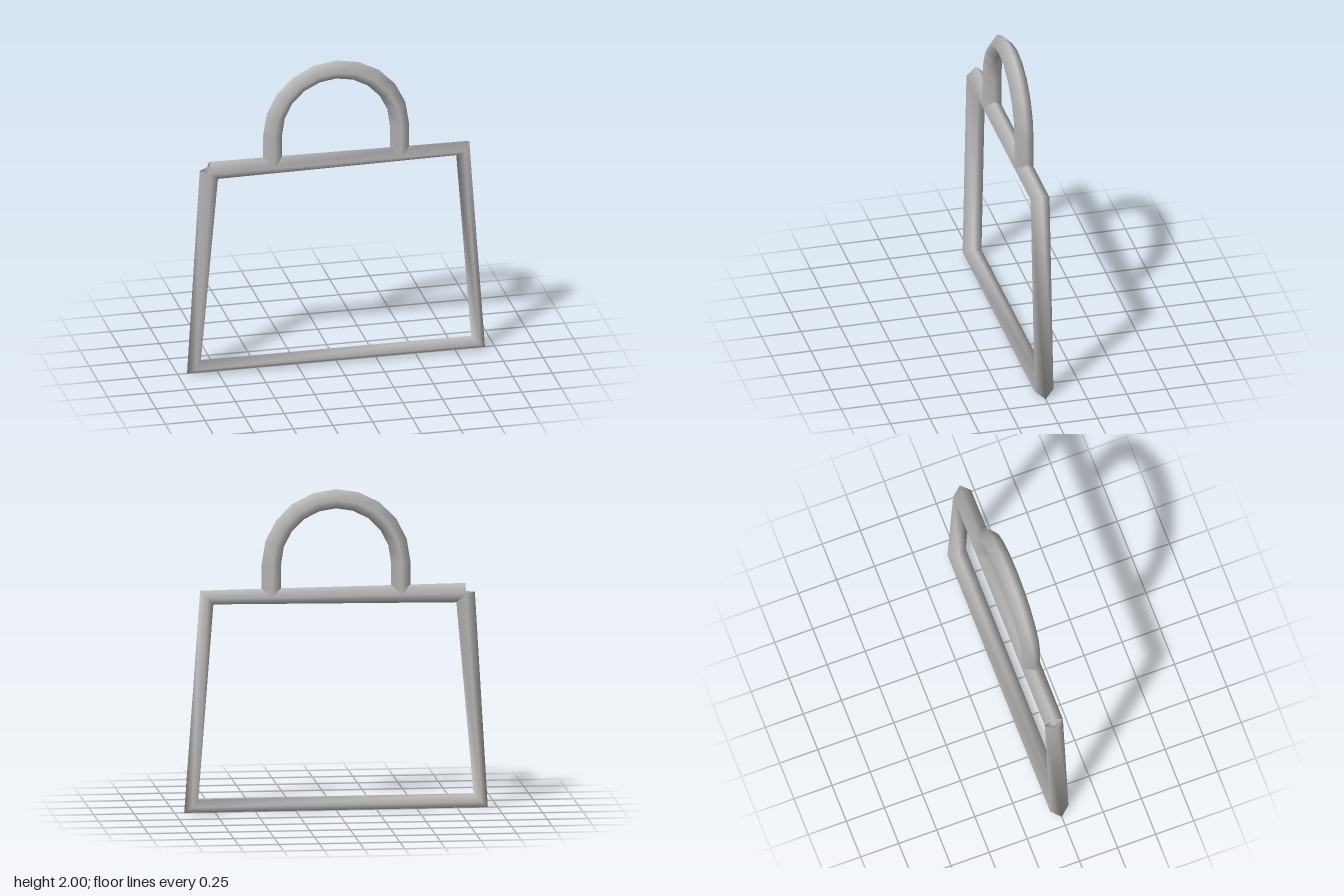
import * as THREE from 'three';

const RADIUS = 0.06;
const SIDES = 4;

// Sweeps a four-sided open tube along a path in the xy plane.
// Each corner section is turned to the mean direction of its two neighbours.
function sweep(points) {
  const position = [], normal = [], index = [];
  const last = points.length - 1;
  points.forEach((p, i) => {
    const tangent = new THREE.Vector2();
    if (i > 0) tangent.add(p.clone().sub(points[i - 1]).normalize());
    if (i < last) tangent.add(points[i + 1].clone().sub(p).normalize());
    tangent.normalize();
    for (let k = 0; k < SIDES; k++) {
      const a = (k / SIDES) * Math.PI * 2;
      const n = [-tangent.y * Math.cos(a), tangent.x * Math.cos(a), Math.sin(a)];
      normal.push(...n);
      position.push(p.x + RADIUS * n[0], p.y + RADIUS * n[1], RADIUS * n[2]);
      if (i < last) {
        const a0 = i * SIDES + k, b0 = i * SIDES + ((k + 1) % SIDES);
        index.push(a0, b0, a0 + SIDES, b0, b0 + SIDES, a0 + SIDES);
      }
    }
  });
  const geometry = new THREE.BufferGeometry();
  geometry.setAttribute('position', new THREE.Float32BufferAttribute(position, 3));
  geometry.setAttribute('normal', new THREE.Float32BufferAttribute(normal, 3));
  geometry.setIndex(index);
  return geometry;
}

export function createModel() {
  const group = new THREE.Group();
  group.name = 'bagOutline';
  const grey = new THREE.MeshStandardMaterial({ color: 0xc0c0c0, side: THREE.DoubleSide });
  grey.name = 'grey';

  const addTube = (name, points) => {
    const mesh = new THREE.Mesh(sweep(points), grey);
    mesh.name = name;
    group.add(mesh);
  };
  const v = (x, y) => new THREE.Vector2(x, y);

  // Trapezoid frame, starting and ending at the upper corner on the -x side
  addTube('frame', [v(-0.8, 1.34), v(0.8, 1.34), v(0.896, 0.041), v(-0.896, 0.041), v(-0.8, 1.34)]);

  // Handle: two straight legs joined by a half circle
  const handle = [v(-0.4, 1.34)];
  for (let i = 0; i <= 10; i++) {
    const a = Math.PI * (1 - i / 10);
    handle.push(v(0.4 * Math.cos(a), 1.54 + 0.4 * Math.sin(a)));
  }
  handle.push(v(0.4, 1.34));
  addTube('handle', handle);

  return group;
}
